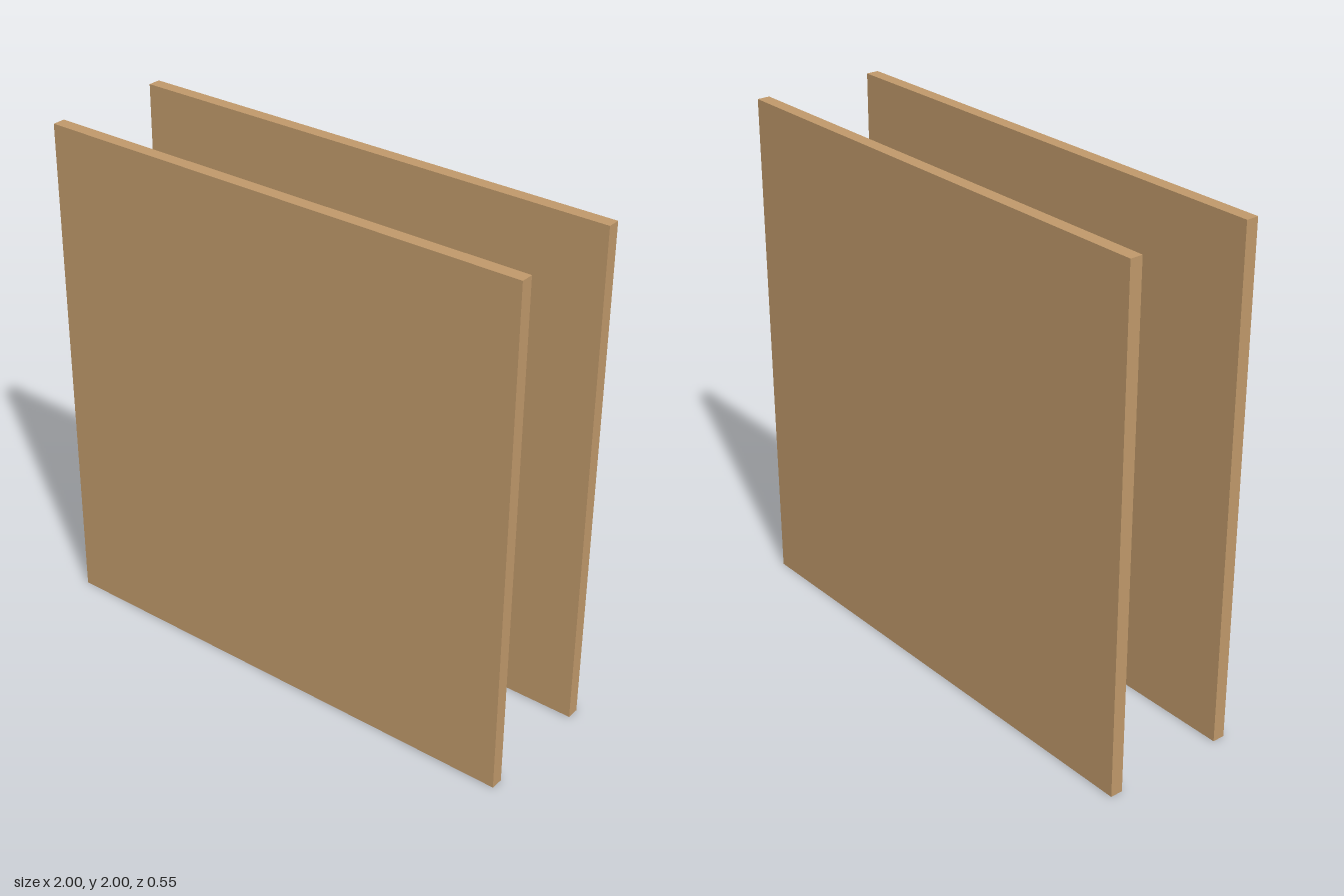
import * as THREE from 'three';

export function createModel() {
  const group = new THREE.Group();
  const wood = new THREE.MeshStandardMaterial({ color: 0xc19a6b });
  const size = 2, thickness = 0.05, gap = 0.45;

  // Two square panels, front and back
  for (const [name, side] of [['frontPanel', 1], ['backPanel', -1]]) {
    const panel = new THREE.Mesh(new THREE.BoxGeometry(size, size, thickness), wood);
    panel.name = name;
    panel.position.set(0, size / 2, side * (gap + thickness) / 2);
    group.add(panel);
  }

  // Round axle joining the panel centres
  const axle = new THREE.Mesh(new THREE.CylinderGeometry(0.025, 0.025, gap, 16), wood);
  axle.name = 'axle';
  axle.rotation.x = Math.PI / 2;
  axle.position.y = size / 2;
  group.add(axle);

  return group;
}
